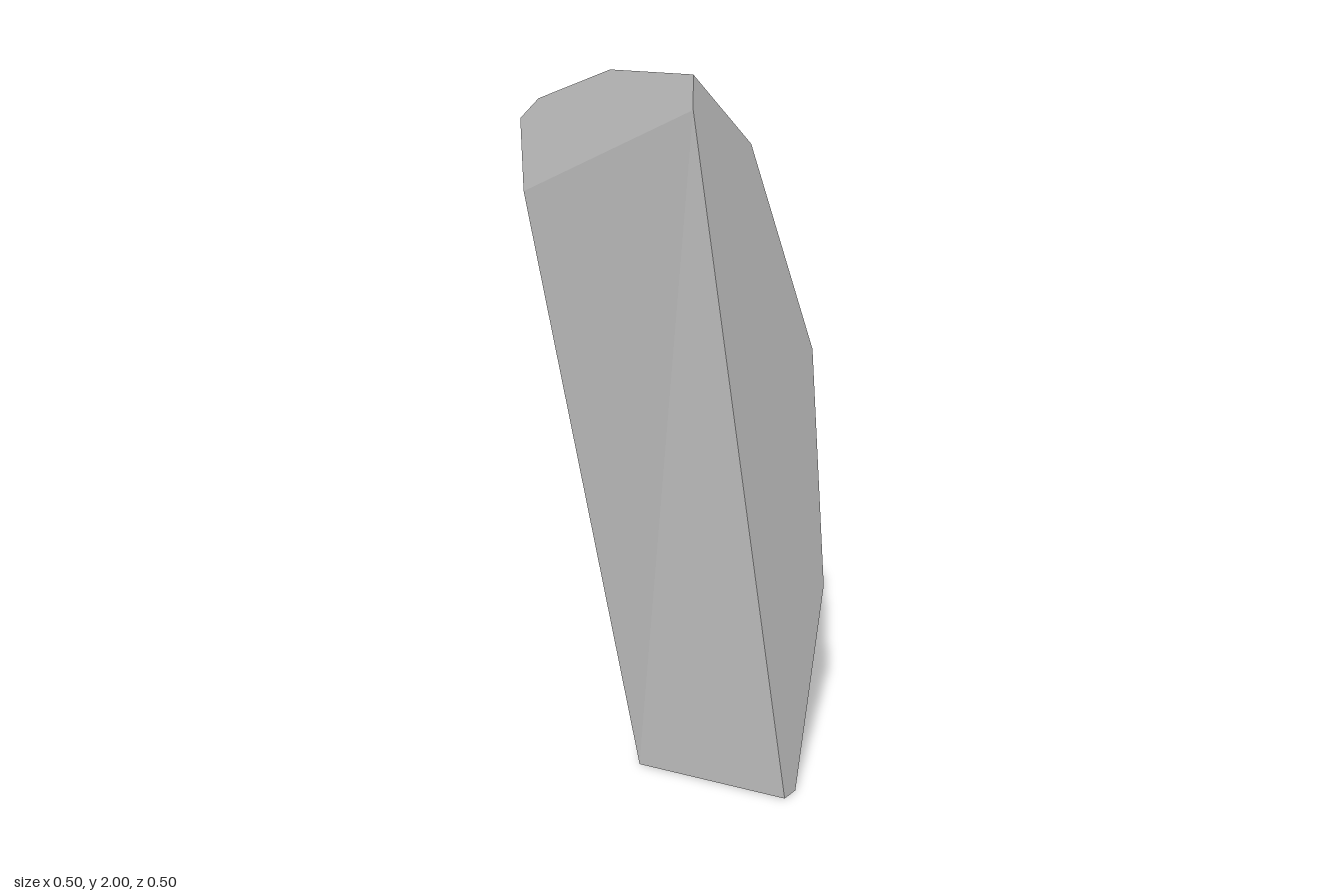
import * as THREE from 'three';
import { ConvexGeometry } from 'three/addons/geometries/ConvexGeometry.js';

// A faceted stone shard: a convex block described by cross-sections along z.
export function createModel() {
  const group = new THREE.Group();
  group.name = 'shard';
  const stone = new THREE.MeshStandardMaterial({ color: 0xcccccc });
  stone.name = 'pale grey stone';

  const sections = [
    // front face
    { z: 0.25, xy: [[-0.25, 2], [-0.07, 1.82], [0.165, 1.28], [0.25, 0.6], [0.165, 0], [0.12, 0], [-0.25, 1.93]] },
    // ridge across the curved outer side
    { z: 0.025, xy: [[-0.25, 1.97], [-0.1, 1.815], [0.125, 1.27], [0.205, 0.6], [0.125, 0]] },
    // lower back corner and foot
    { z: -0.133, xy: [[0.11, 0.59], [0.02, 0], [-0.03, 0]] },
    // upper back bevel
    { z: -0.19, xy: [[-0.25, 1.87]] },
    { z: -0.224, xy: [[-0.22, 1.825], [-0.01, 1.28], [0.04, 0.8]] },
    // back face
    { z: -0.25, xy: [[-0.25, 1.815], [-0.04, 1.28], [0.01, 0.78], [-0.07, 0.77], [-0.25, 1.65]] },
  ];
  const points = sections.flatMap(({ z, xy }) => xy.map(([x, y]) => new THREE.Vector3(x, y, z)));

  const body = new THREE.Mesh(new ConvexGeometry(points), stone);
  body.name = 'shardBody';
  group.add(body);
  return group;
}
